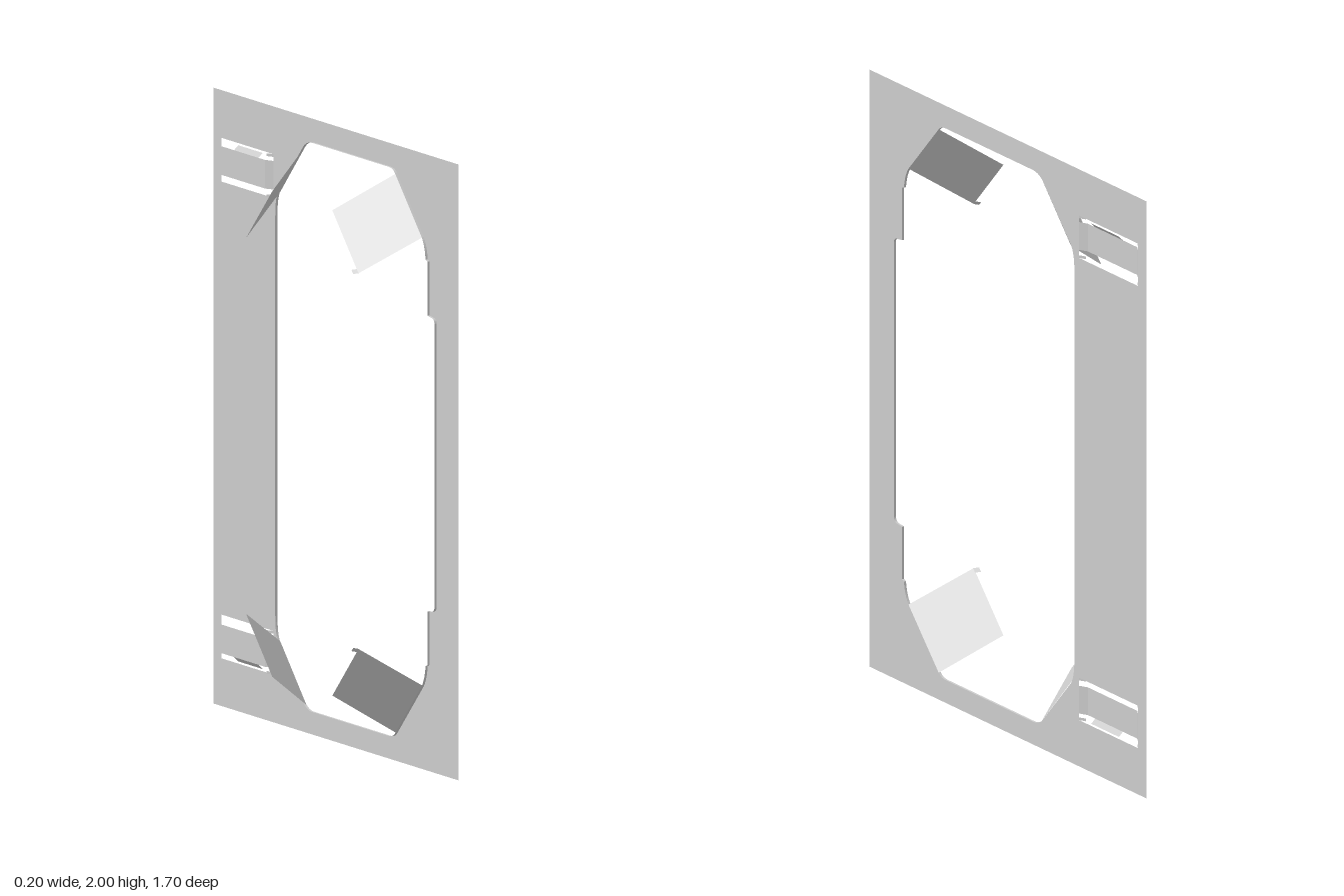
import * as THREE from 'three';

const PLATE_X = 0.097;
const RIM_X = 0.089;

const material = new THREE.MeshStandardMaterial({ color: 0xcccccc, side: THREE.DoubleSide });

// Sheet of quads between two rows of [x, y, z] points
function sheet(name, rowA, rowB) {
  const pos = [...rowA, ...rowB].flat();
  const n = rowA.length;
  const index = [];
  for (let i = 0; i < n - 1; i++) index.push(i, i + 1, n + i, i + 1, n + i + 1, n + i);
  let geo = new THREE.BufferGeometry();
  geo.setAttribute('position', new THREE.Float32BufferAttribute(pos, 3));
  geo.setIndex(index);
  geo = geo.toNonIndexed();
  geo.computeVertexNormals();
  const mesh = new THREE.Mesh(geo, material);
  mesh.name = name;
  return mesh;
}

// Upper half of the opening as (-z, y), from the front edge to the rear edge
function upperOpening() {
  const p = new THREE.Path();
  p.moveTo(-0.7, 1);
  p.lineTo(-0.7, 1.46);
  p.quadraticCurveTo(-0.698, 1.475, -0.68, 1.477);
  p.lineTo(-0.65, 1.48);
  p.lineTo(-0.65, 1.655);
  p.lineTo(-0.638, 1.66);
  p.quadraticCurveTo(-0.632, 1.705, -0.61, 1.73);
  p.lineTo(-0.425, 1.91);
  p.quadraticCurveTo(-0.41, 1.924, -0.38, 1.924);
  p.lineTo(0.15, 1.924);
  p.quadraticCurveTo(0.185, 1.924, 0.21, 1.905);
  p.lineTo(0.385, 1.735);
  p.quadraticCurveTo(0.407, 1.71, 0.407, 1.65);
  p.lineTo(0.407, 1);
  return p.getPoints(6);
}

// Closed outline of the opening, mirrored about y = 1
function openingOutline() {
  const top = upperOpening();
  const bottom = top.slice(1, -1).reverse().map((p) => new THREE.Vector2(p.x, 2 - p.y));
  return [...top, ...bottom];
}

function buildPlate(opening) {
  const shape = new THREE.Shape();
  shape.moveTo(-0.85, 0);
  shape.lineTo(0.85, 0);
  shape.lineTo(0.85, 2);
  shape.lineTo(-0.85, 2);
  shape.closePath();
  shape.holes.push(new THREE.Path(opening));

  // Rectangular windows that the recessed bridges cross
  for (const [y0, y1] of [[0.155, 0.297], [1.703, 1.845]]) {
    shape.holes.push(new THREE.Path([
      new THREE.Vector2(0.435, y0), new THREE.Vector2(0.435, y1),
      new THREE.Vector2(0.797, y1), new THREE.Vector2(0.797, y0),
    ]));
  }
  const geo = new THREE.ShapeGeometry(shape);
  geo.rotateY(Math.PI / 2);
  geo.translate(PLATE_X, 0, 0);
  const mesh = new THREE.Mesh(geo, material);
  mesh.name = 'plate';
  return mesh;
}

// Parts of the top half; the bottom half is its mirror image
function buildHalf(name) {
  const half = new THREE.Group();
  half.name = name;

  // Folded corner tabs, leaning back through the opening
  half.add(sheet('frontCornerTab',
    [[PLATE_X, 1.73, 0.61], [PLATE_X, 1.91, 0.425]],
    [[-0.085, 1.61, 0.507], [-0.085, 1.788, 0.325]]));
  half.add(sheet('rearCornerTab',
    [[PLATE_X, 1.91, -0.205], [PLATE_X, 1.73, -0.387]],
    [[-0.085, 1.788, -0.093], [-0.085, 1.61, -0.275]]));

  // Small lip on the end of the front tab
  half.add(sheet('tabLip',
    [[-0.083, 1.61, 0.507], [-0.083, 1.622, 0.495]],
    [[-0.099, 1.607, 0.497], [-0.099, 1.619, 0.485]]));

  // Recessed bridge with a ramp at each end
  const profile = [[PLATE_X, -0.435], [0.082, -0.465], [0.082, -0.767], [PLATE_X, -0.797]];
  half.add(sheet('bridge',
    profile.map(([x, z]) => [x, 1.73, z]),
    profile.map(([x, z]) => [x, 1.823, z])));

  // Flange along the outer edge of the bridge
  half.add(sheet('bridgeFlange',
    [[0.082, 1.823, -0.51], [0.082, 1.823, -0.68]],
    [[PLATE_X, 1.838, -0.51], [PLATE_X, 1.838, -0.68]]));

  // Short end pieces closing the corners of the window
  for (const [z0, z1] of [[-0.435, -0.459], [-0.797, -0.773]]) {
    for (const [y0, y1] of [[1.703, 1.712], [1.836, 1.845]]) {
      half.add(sheet('windowCorner',
        [[PLATE_X, y0, z0], [PLATE_X, y1, z0]],
        [[0.085, y0, z1], [0.085, y1, z1]]));
    }
  }
  return half;
}

export function createModel() {
  const model = new THREE.Group();
  model.name = 'mountingFrame';

  const opening = openingOutline();
  model.add(buildPlate(opening));

  // Narrow turned-in rim around the opening
  const loop = [...opening, opening[0]];
  model.add(sheet('openingRim',
    loop.map((p) => [PLATE_X, p.y, -p.x]),
    loop.map((p) => [RIM_X, p.y, -p.x])));

  const top = buildHalf('topFittings');
  const bottom = buildHalf('bottomFittings');
  bottom.scale.y = -1;
  bottom.position.y = 2;
  model.add(top, bottom);
  return model;
}
